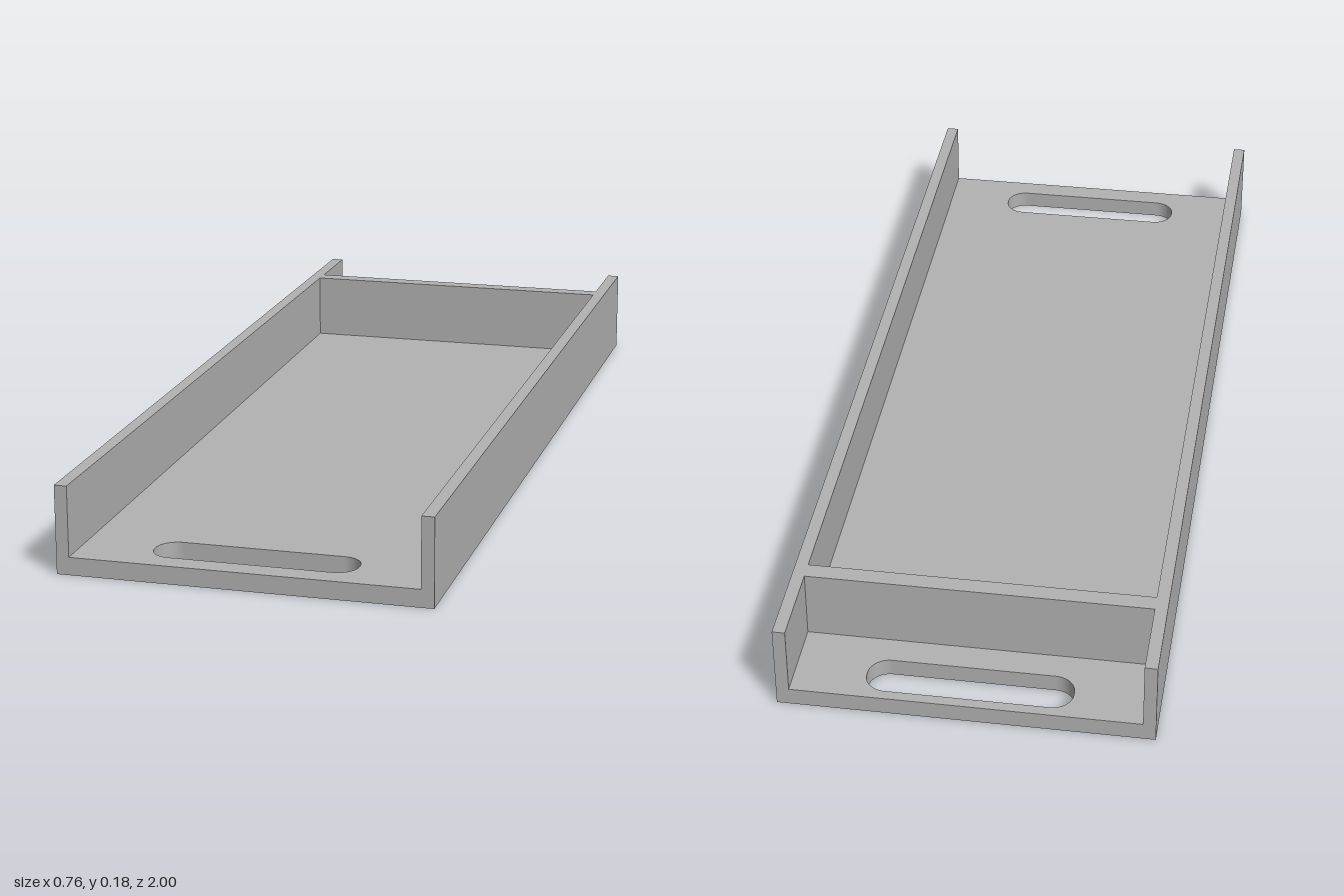
import * as THREE from 'three';

const HALF_W = 0.38, WALL = 0.026, BASE = 0.037, HEIGHT = 0.183;

// Rounded slot outline centred on (0, cy)
function slot(cy, halfW = 0.209, halfH = 0.0465, r = 0.043) {
  const p = new THREE.Path();
  p.absarc(halfW - r, cy + halfH - r, r, Math.PI / 2, 0, true);
  p.absarc(halfW - r, cy - halfH + r, r, 0, -Math.PI / 2, true);
  p.absarc(-halfW + r, cy - halfH + r, r, -Math.PI / 2, -Math.PI, true);
  p.absarc(-halfW + r, cy + halfH - r, r, Math.PI, Math.PI / 2, true);
  p.closePath();
  return p;
}

export function createModel() {
  const group = new THREE.Group();
  group.name = 'tray';
  const grey = new THREE.MeshStandardMaterial({ color: 0xb2b2b2 });
  grey.name = 'plain grey';

  const add = (name, geometry, x = 0, y = 0, z = 0) => {
    const mesh = new THREE.Mesh(geometry, grey);
    mesh.name = name;
    mesh.position.set(x, y, z);
    group.add(mesh);
  };

  // Base plate with a slot at each end (shape y becomes -z)
  const outline = new THREE.Shape([
    new THREE.Vector2(-HALF_W, -1), new THREE.Vector2(HALF_W, -1),
    new THREE.Vector2(HALF_W, 1), new THREE.Vector2(-HALF_W, 1),
  ]);
  outline.holes.push(slot(0.931), slot(-0.905));
  const base = new THREE.ExtrudeGeometry(outline, { depth: BASE, bevelEnabled: false, curveSegments: 10 });
  base.rotateX(-Math.PI / 2);
  add('basePlate', base);

  // Long side walls, open at both ends
  const rise = HEIGHT - BASE, midY = BASE + rise / 2;
  for (const [name, side] of [['leftWall', 1], ['rightWall', -1]]) {
    add(name, new THREE.BoxGeometry(WALL, rise, 2), side * (HALF_W - WALL / 2), midY, 0);
  }

  // Cross divider near the back
  add('divider', new THREE.BoxGeometry(2 * (HALF_W - WALL), rise, 0.037), 0, midY, -0.804);

  return group;
}
